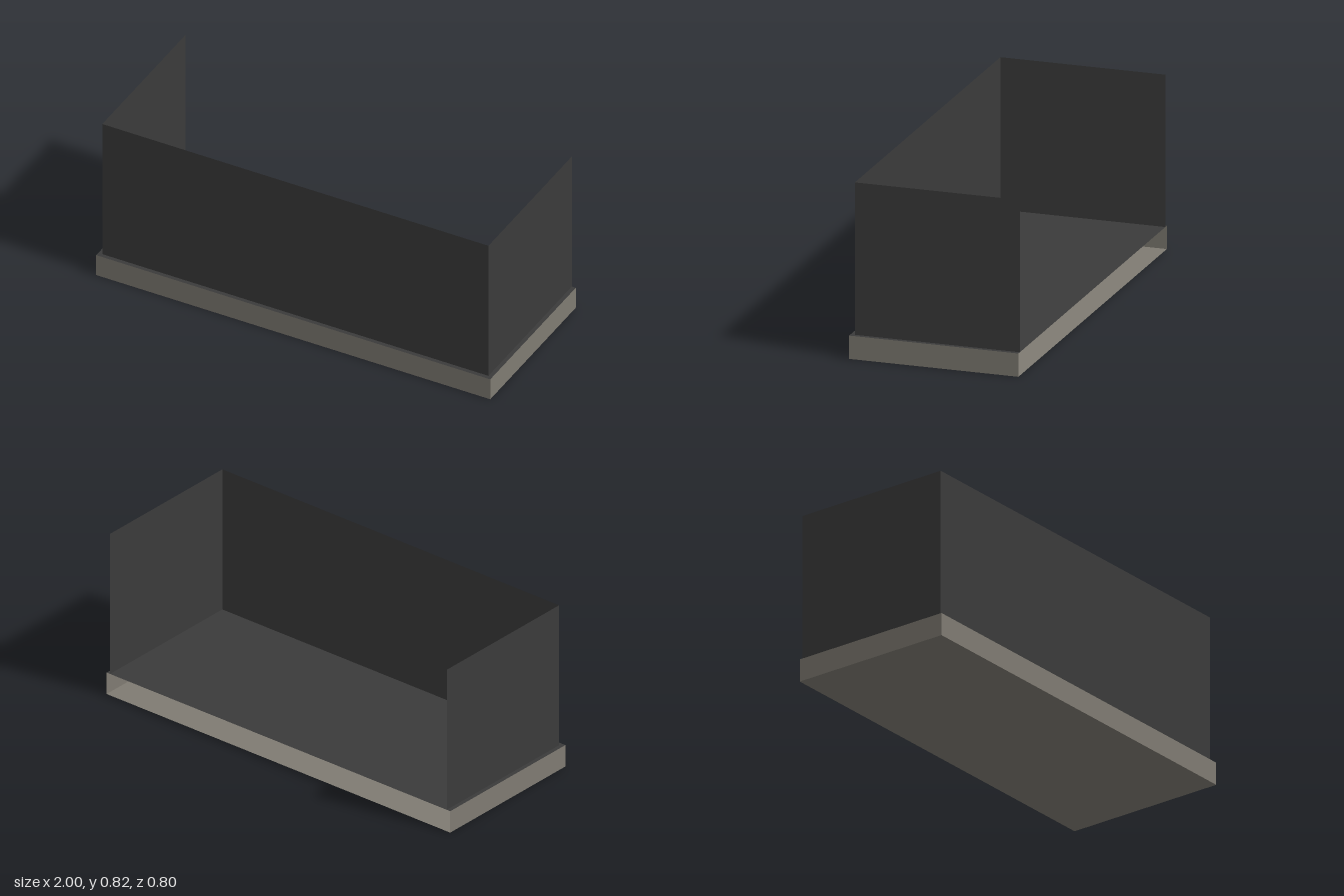
import * as THREE from 'three';

export function createModel() {
  const model = new THREE.Group();
  const stone = new THREE.MeshStandardMaterial({ color: 0x7f7b72, side: THREE.DoubleSide });
  stone.name = 'warm grey stone';
  const dark = new THREE.MeshStandardMaterial({ color: 0x3b3b3b, side: THREE.DoubleSide });
  dark.name = 'dark grey panel';

  const back = -0.4, front = 0.4, slabTop = 0.109, railTop = 0.822;

  // Thin sheet, turned to face outward
  function sheet(name, w, h, material, position, rx = 0, ry = 0) {
    const mesh = new THREE.Mesh(new THREE.PlaneGeometry(w, h), material);
    mesh.name = name;
    mesh.position.set(...position);
    mesh.rotation.set(rx, ry, 0);
    model.add(mesh);
  }

  // Front and two sides of a box that is open at the back
  function threeSides(name, halfWidth, zFront, y0, y1, material) {
    const h = y1 - y0, y = (y0 + y1) / 2;
    sheet(name + 'Front', halfWidth * 2, h, material, [0, y, zFront]);
    for (const [side, s] of [['Left', 1], ['Right', -1]]) {
      sheet(name + side, zFront - back, h, material,
        [s * halfWidth, y, (zFront + back) / 2], 0, s * Math.PI / 2);
    }
  }

  // Hollow slab with a dark deck on top
  threeSides('slabEdge', 1, front, 0, slabTop, stone);
  sheet('slabUnderside', 2, front - back, stone, [0, 0, 0], Math.PI / 2);
  sheet('deck', 2, front - back, dark, [0, slabTop, 0], -Math.PI / 2);

  // Parapet panels, set in slightly from the slab edge
  threeSides('parapet', 0.98, 0.38, slabTop, railTop, dark);

  return model;
}
